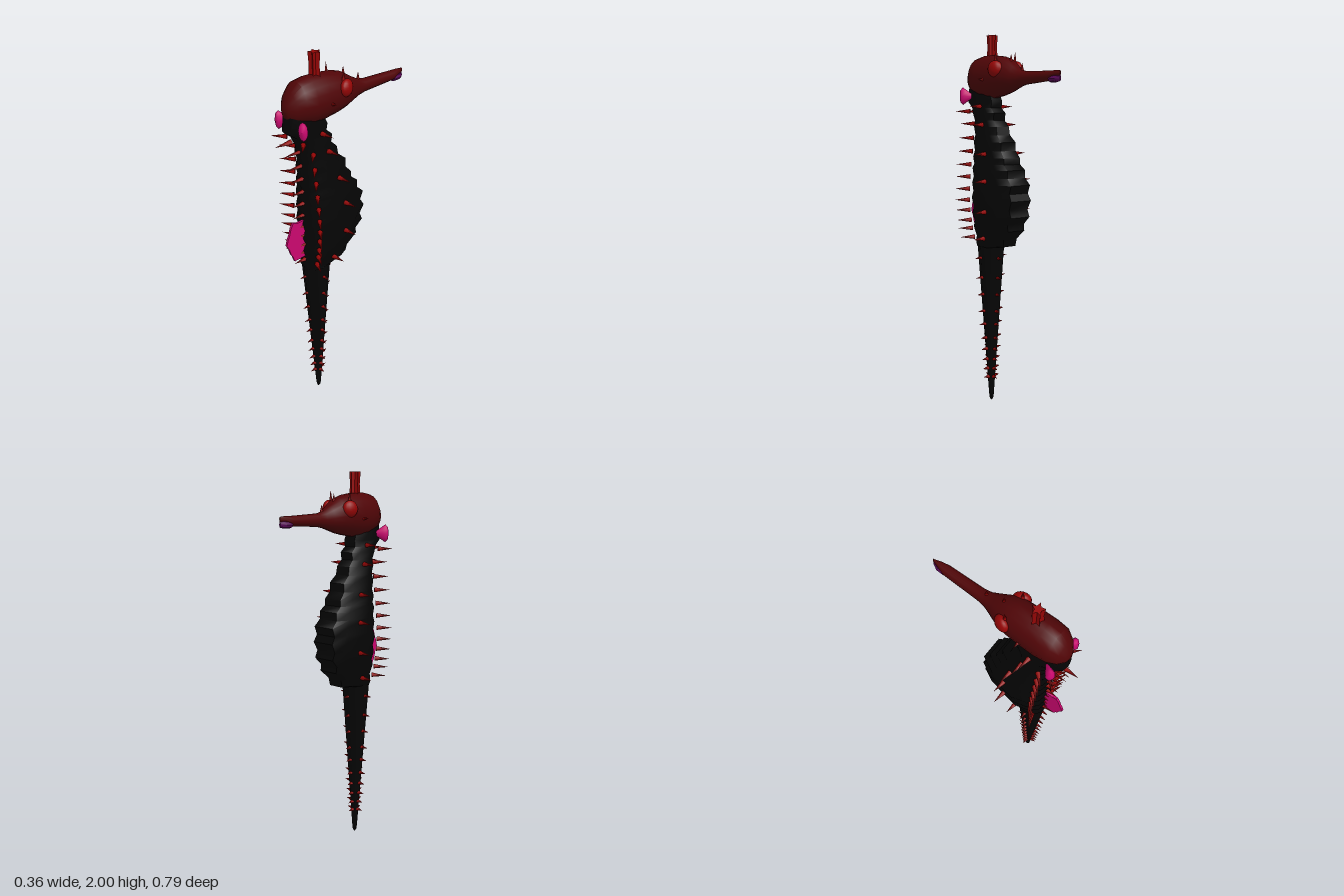
import * as THREE from 'three';
import { toCreasedNormals } from 'three/addons/utils/BufferGeometryUtils.js';

const mat = (name, color) => {
  const m = new THREE.MeshStandardMaterial({ color });
  m.name = name;
  return m;
};

// Skin a list of rings (each a list of [x, y, z]) and cap both ends
function loft(rings, crease) {
  const n = rings[0].length, pos = rings.flat(2), idx = [];
  for (let i = 0; i < rings.length - 1; i++) {
    for (let j = 0; j < n; j++) {
      const a = i * n + j, b = i * n + (j + 1) % n;
      idx.push(a, b, b + n, a, b + n, a + n);
    }
  }
  [0, rings.length - 1].forEach((r, end) => {
    const c = pos.length / 3;
    for (let k = 0; k < 3; k++) pos.push(rings[r].reduce((s, p) => s + p[k], 0) / n);
    for (let j = 0; j < n; j++) {
      const a = r * n + j, b = r * n + (j + 1) % n;
      idx.push(c, end ? a : b, end ? b : a);
    }
  });
  const g = new THREE.BufferGeometry();
  g.setAttribute('position', new THREE.Float32BufferAttribute(pos, 3));
  g.setIndex(idx);
  return toCreasedNormals(g, crease);
}

export function createModel() {
  const root = new THREE.Group();
  const black = mat('black skin', 0x050505);
  const darkRed = mat('dark red head', 0x500507);
  const red = mat('red spikes', 0x940505);
  const pink = mat('pink fins', 0xcc0870);
  const purple = mat('purple mouth', 0x5a0a58);

  const add = (name, geo, material, parent = root) => {
    const m = new THREE.Mesh(geo, material);
    m.name = name;
    parent.add(m);
    return m;
  };
  const group = (name) => {
    const g = new THREE.Group();
    g.name = name;
    root.add(g);
    return g;
  };

  // Trunk ridges from bottom to top: y, belly z, back z, half width
  const ridges = [
    [0.905, 0.0, 0.255, 0.078], [0.995, -0.06, 0.255, 0.105], [1.07, -0.095, 0.255, 0.118],
    [1.155, -0.102, 0.255, 0.125], [1.235, -0.097, 0.255, 0.12], [1.31, -0.06, 0.255, 0.112],
    [1.37, -0.023, 0.255, 0.102], [1.45, 0.008, 0.255, 0.092], [1.53, 0.06, 0.26, 0.08],
    [1.6, 0.085, 0.275, 0.074], [1.66, 0.11, 0.33, 0.068], [1.75, 0.15, 0.325, 0.058],
  ];
  const half = [[0.45, 0.97], [0.8, 0.86], [1, 0.62], [0.8, 0.2], [0.5, 0]];
  const section = [[0, 1], ...half, ...half.slice().reverse().map(([x, z]) => [-x, z])];
  const trunkRing = ([y, front, back, w]) =>
    section.map(([x, z]) => [x * w, y, front + z * (back - front)]);
  const trunk = [trunkRing([0.885, 0.1, 0.245, 0.07])];
  ridges.forEach((r, i) => {
    trunk.push(trunkRing(r));
    const q = ridges[i + 1];
    if (!q || i > 9) return;
    // Groove just above each ridge
    const g = r.map((v, k) => v + (q[k] - v) * 0.45);
    trunk.push(trunkRing([g[0], g[1] + 0.02, g[2] - 0.014, g[3] - 0.004]));
  });
  add('trunk', loft(trunk, 0.9), black);

  // Tapered straight tail
  const tailR = (y) => 0.012 + (y - 0.02) * 0.068;
  const tail = [[0, 0.004], [0.012, 0.01], [0.03, 0.0125], [0.9, tailR(0.9)]].map(([y, r]) =>
    Array.from({ length: 8 }, (_, j) => {
      const t = j * Math.PI / 4;
      return [Math.sin(t) * r, y, 0.172 + Math.cos(t) * r * 1.08];
    }));
  add('tail', loft(tail, 0.9), black);

  // Head and snout: z, bottom y, top y, half width
  const headLoft = (sections, n) => loft(sections.map(([z, lo, hi, w]) =>
    Array.from({ length: n }, (_, j) => {
      const t = j / n * Math.PI * 2;
      return [Math.cos(t) * w, (lo + hi) / 2 + Math.sin(t) * (hi - lo) / 2, z];
    })), 0.7);
  add('head', headLoft([
    [-0.4, 1.772, 1.795, 0.003], [-0.37, 1.768, 1.797, 0.014], [-0.33, 1.75, 1.797, 0.025],
    [-0.14, 1.738, 1.803, 0.029], [-0.1, 1.73, 1.814, 0.034], [-0.06, 1.718, 1.836, 0.05],
    [0, 1.7, 1.873, 0.075], [0.05, 1.689, 1.888, 0.084], [0.13, 1.676, 1.898, 0.087],
    [0.2, 1.674, 1.899, 0.088], [0.26, 1.69, 1.889, 0.082], [0.3, 1.705, 1.85, 0.06],
    [0.325, 1.73, 1.8, 0.028], [0.332, 1.755, 1.778, 0.008]], 18), darkRed);
  add('mouth', headLoft([[-0.4, 1.746, 1.773, 0.004], [-0.37, 1.741, 1.776, 0.021],
    [-0.335, 1.741, 1.774, 0.022]], 8), purple);

  // Star-shaped crown
  add('crown', loft([[1.87, 0.03], [1.94, 0.026], [2, 0.03]].map(([y, r]) =>
    Array.from({ length: 10 }, (_, j) => {
      const t = Math.PI + j * Math.PI / 5, q = j % 2 ? r * 0.5 : r;
      return [Math.sin(t) * q, y, 0.152 + Math.cos(t) * q];
    })), 0.3), red);

  // Spikes
  const up = new THREE.Vector3(0, 1, 0);
  const cone = new THREE.ConeGeometry(1, 1, 6).translate(0, 0.5, 0);
  const spike = (parent, name, base, dir, len, r = 0.013) => {
    const m = add(name, cone, red, parent);
    m.position.set(...base);
    m.scale.set(r, len, r);
    m.quaternion.setFromUnitVectors(up, new THREE.Vector3(...dir).normalize());
  };
  const widthAt = (y) => {
    const i = Math.max(1, ridges.findIndex((r) => r[0] >= y));
    const a = ridges[i - 1], b = ridges[i];
    return a[3] + (b[3] - a[3]) * (y - a[0]) / (b[0] - a[0]);
  };

  const backSpikes = group('back spikes');
  const rows = [1.61, 1.545, 1.47, 1.4, 1.33, 1.265, 1.2, 1.14, 1.085, 1.03, 0.985, 0.935];
  rows.forEach((y, i) => {
    const w = widthAt(y), neck = i === 0;
    spike(backSpikes, 'spine spike', [0, y, neck ? 0.3 : 0.238], [0, 0, 1],
      neck ? 0.09 : Math.max(0.07, 0.125 - i * 0.013), neck ? 0.014 : 0.012);
    for (const s of [-1, 1]) {
      spike(backSpikes, 'shoulder spike', [s * w * 0.82, y, neck ? 0.275 : 0.222],
        [s, 0, neck ? 0.9 : 1 - i * 0.05], 0.08);
    }
  });

  const sideSpikes = group('side spikes');
  const sides = [[1.635, 0.17], [1.54, 0.14], [1.39, 0.09], [1.25, 0.065], [1.09, 0.065], [0.94, 0.12]];
  for (const [y, z] of sides) {
    for (const s of [-1, 1]) {
      spike(sideSpikes, 'side spike', [s * widthAt(y) * 0.92, y, z], [s, 0, -0.12], 0.072);
    }
  }

  const tailSpikes = group('tail spikes');
  [0.825, 0.715, 0.62, 0.525, 0.45, 0.37, 0.305, 0.245, 0.19, 0.14].forEach((y, i) => {
    for (const [dx, dz] of [[1, 0], [-1, 0], [0, 1], [0, -1]]) {
      const r = tailR(y) * 0.85;
      spike(tailSpikes, 'tail spike', [dx * r, y, 0.172 + dz * r], [dx, 0, dz],
        0.05 - i * 0.0015, 0.011);
    }
  });

  const headSpikes = group('head spikes');
  spike(headSpikes, 'brow spike', [0, 1.855, -0.015], [0, 1, 0], 0.04, 0.009);
  spike(headSpikes, 'nose spike', [0, 1.805, -0.108], [0, 1, 0], 0.04, 0.009);

  // Rounded fan, narrow at its root
  const fan = new THREE.LatheGeometry([[0, 0], [0.012, 0], [0.034, 0.032], [0.046, 0.05],
    [0.034, 0.062], [0, 0.068]].map((p) => new THREE.Vector2(...p)), 12)
    .rotateX(Math.PI / 2).scale(0.5, 1, 1);

  // Mirrored eyes, side fins and cheek spikes
  for (const s of [-1, 1]) {
    const eye = add('eye', new THREE.SphereGeometry(0.042, 16, 12), red);
    eye.scale.set(0.65, 1, 1);
    eye.position.set(s * 0.07, 1.82, 0.026);
    eye.rotation.y = s * 0.35;
    spike(headSpikes, 'eye spike', [s * 0.06, 1.855, 0.035], [s * 0.05, 1, 0], 0.055, 0.009);
    spike(headSpikes, 'cheek spike', [s * 0.075, 1.77, 0.12], [s, 0.1, 0], 0.04, 0.01);

    const fin = add('side fin', fan, pink);
    fin.position.set(s * 0.06, 1.69, 0.258);
    fin.rotation.y = s * 0.65;
  }

  // Scalloped fin along the lower back
  const fin = new THREE.Shape([[0.22, 0.96], [0.31, 0.955], [0.32, 0.985], [0.33, 1.0],
    [0.34, 1.035], [0.355, 1.065], [0.345, 1.1], [0.335, 1.12], [0.325, 1.155],
    [0.31, 1.18], [0.285, 1.17], [0.22, 1.175]].map((p) => new THREE.Vector2(...p)));
  const finGeo = new THREE.ExtrudeGeometry(fin, { depth: 0.012, bevelEnabled: false });
  add('back fin', finGeo.translate(0, 0, -0.006).rotateY(-Math.PI / 2), pink);

  return root;
}
